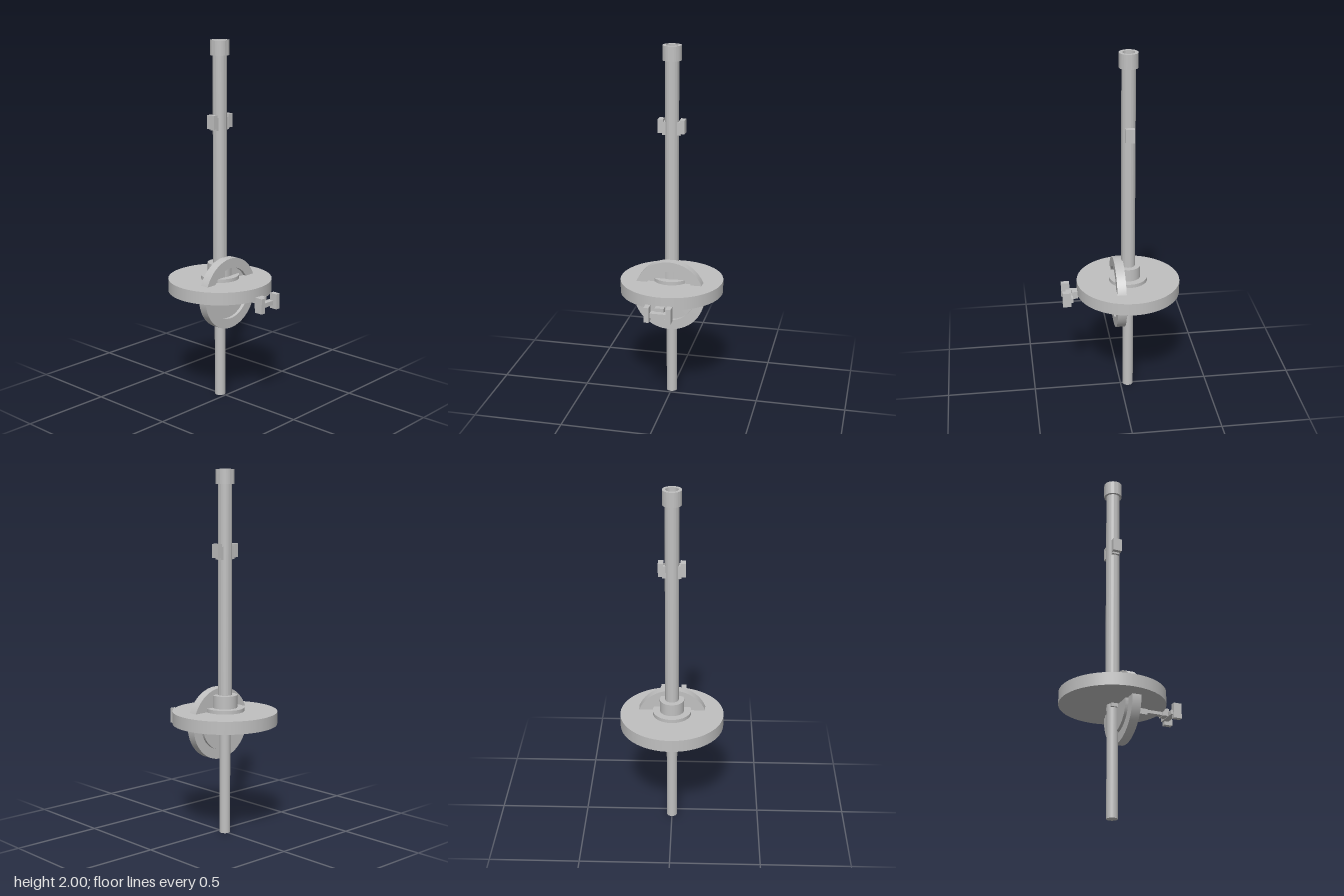
import * as THREE from 'three';
import { toCreasedNormals } from 'three/addons/utils/BufferGeometryUtils.js';

const AXIS = -0.043; // x of the main shaft

export function createModel() {
  const model = new THREE.Group();
  model.name = 'wheelShaftAssembly';
  const grey = new THREE.MeshStandardMaterial({ color: 0xc0c0c0 });
  grey.name = 'plain grey';

  function add(name, geometry, x = 0, y = 0, z = 0) {
    const mesh = new THREE.Mesh(geometry, grey);
    mesh.name = name;
    mesh.position.set(x, y, z);
    model.add(mesh);
    return mesh;
  }
  // Box given by its limits on each axis
  function box(name, x0, x1, y0, y1, z0, z1) {
    return add(name, new THREE.BoxGeometry(x1 - x0, y1 - y0, z1 - z0),
      (x0 + x1) / 2, (y0 + y1) / 2, (z0 + z1) / 2);
  }
  // Upright cylinder on the shaft axis
  function drum(name, r, y0, y1) {
    return add(name, new THREE.CylinderGeometry(r, r, y1 - y0, 64), AXIS, (y0 + y1) / 2, 0);
  }
  // Hollow ring with a rectangular section, turned about y
  function ringGeometry(inner, outer, y0, y1) {
    const p = [[inner, y0], [outer, y0], [outer, y1], [inner, y1], [inner, y0]];
    const lathe = new THREE.LatheGeometry(p.map(([r, y]) => new THREE.Vector2(r, y)), 64);
    return toCreasedNormals(lathe, 0.6);
  }

  // Shaft, large disc and its stepped collar
  drum('lowerRod', 0.03, 0, 0.63);
  drum('mainDisc', 0.288, 0.62, 0.69);
  drum('flange', 0.107, 0.69, 0.71);
  drum('collar', 0.068, 0.71, 0.78);

  // Hollow upper tube and end cap
  add('upperTube', ringGeometry(0.033, 0.038, 0.78, 1.93), AXIS);
  add('endCap', ringGeometry(0.033, 0.051, 1.92, 2), AXIS);

  // Pair of clips joined through the tube
  box('clipBar', AXIS - 0.021, AXIS + 0.021, 1.52, 1.59, -0.05, 0.05);
  for (const s of [-1, 1]) {
    const z = 0.059 * s;
    box('tubeClip', AXIS - 0.025, AXIS + 0.025, 1.53, 1.605, z - 0.014, z + 0.014);
  }

  // Upright wheel crossing the disc: rim, recessed web, lower backing
  const WHEEL_Y = 0.615;
  const rim = add('wheelRim', ringGeometry(0.145, 0.2, -0.025, 0.025), 0.014, WHEEL_Y);
  rim.rotation.z = -Math.PI / 2;
  const web = add('wheelWeb', new THREE.CylinderGeometry(0.146, 0.146, 0.03, 64), 0.005, WHEEL_Y);
  web.rotation.z = -Math.PI / 2;
  const half = new THREE.Shape();
  half.absarc(0, 0, 0.145, Math.PI, Math.PI * 2, false);
  half.closePath();
  const backGeometry = new THREE.ExtrudeGeometry(half, { depth: 0.017, bevelEnabled: false, curveSegments: 32 });
  const backing = add('wheelBacking', toCreasedNormals(backGeometry, 0.6), -0.027, WHEEL_Y);
  backing.rotation.y = Math.PI / 2;

  // Arm under the disc with a forked end
  box('rodKey', AXIS - 0.02, AXIS + 0.02, 0.6, 0.62, -0.04, 0.04);
  box('armBase', 0.01, 0.15, 0.588, 0.62, -0.025, 0.025);
  box('arm', 0.14, 0.28, 0.602, 0.62, -0.016, 0.016);
  box('armBlock', 0.242, 0.277, 0.598, 0.64, -0.025, 0.025);
  box('forkBar', 0.272, 0.307, 0.595, 0.62, -0.065, 0.065);
  for (const s of [-1, 1]) {
    const z = 0.06 * s;
    box('forkPad', 0.284, 0.33, 0.575, 0.66, z - 0.014, z + 0.014);
  }

  return model;
}
